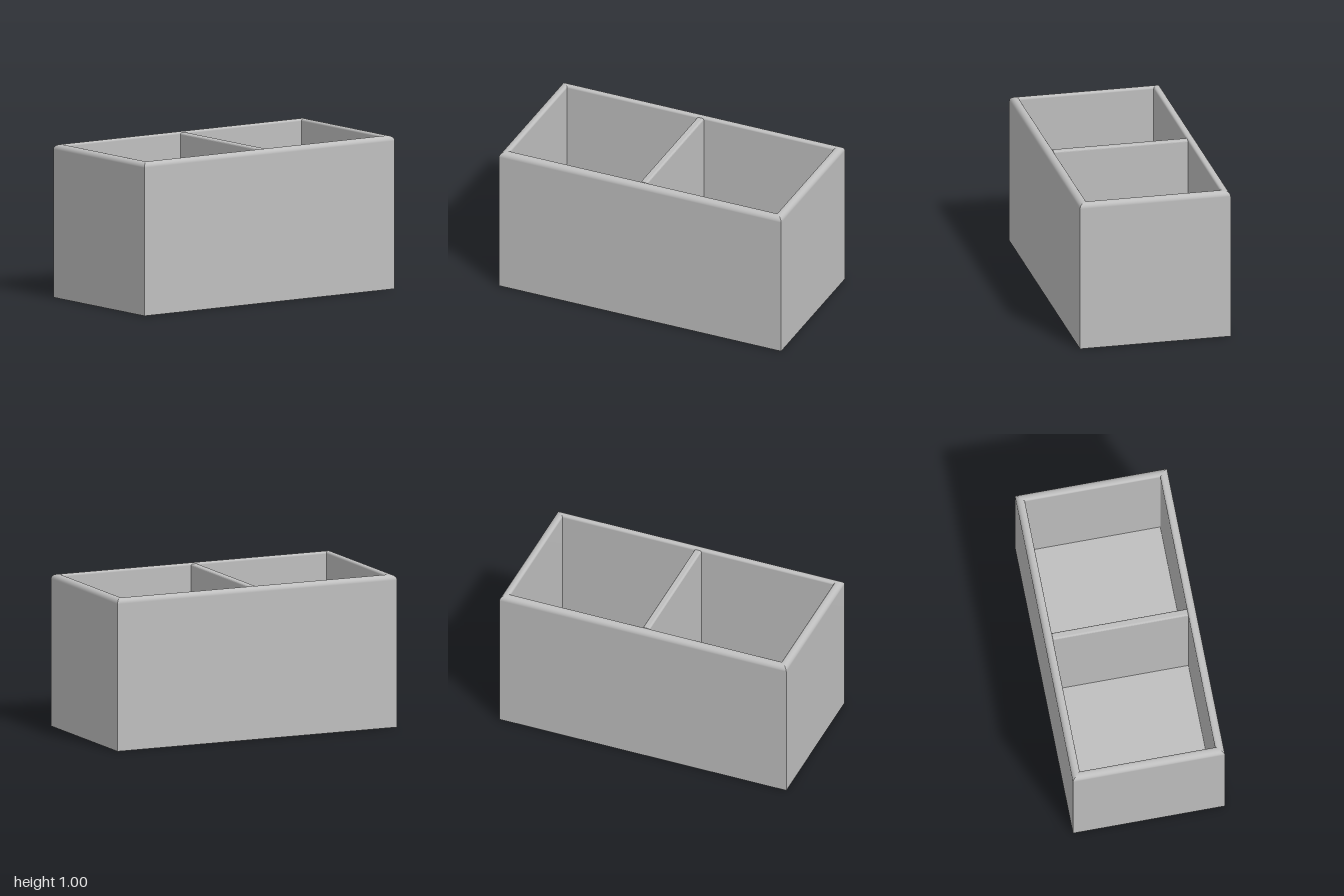
import * as THREE from 'three';

const HX = 0.5, HZ = 1, HEIGHT = 1, WALL = 0.055, FLOOR = 0.05;

// Points of a quarter round, from angle a0 to a1
function arc(cx, cy, r, a0, a1, n = 6) {
  return Array.from({ length: n + 1 }, (_, i) => {
    const a = a0 + ((a1 - a0) * i) / n;
    return [cx + r * Math.cos(a), cy + r * Math.sin(a)];
  });
}

// One mitred wall: the [inset, height] profile swept between two corners
function wallGeometry(profile, [ax, az], [bx, bz]) {
  const pos = [], index = [];
  profile.forEach(([d, y], i) => {
    pos.push(ax * (HX - d), y, az * (HZ - d), bx * (HX - d), y, bz * (HZ - d));
    if (i) {
      const k = 2 * (i - 1);
      index.push(k, k + 1, k + 2, k + 1, k + 3, k + 2);
    }
  });
  const g = new THREE.BufferGeometry();
  g.setAttribute('position', new THREE.Float32BufferAttribute(pos, 3));
  g.setIndex(index);
  g.computeVertexNormals();
  return g;
}

export function createModel() {
  const group = new THREE.Group();
  group.name = 'dividedBox';
  const grey = new THREE.MeshStandardMaterial({ color: 0xbfbfbf });
  grey.name = 'grey';
  const add = (name, geometry) => {
    const mesh = new THREE.Mesh(geometry, grey);
    mesh.name = name;
    group.add(mesh);
    return mesh;
  };

  // Four walls with a rounded rim, larger radius on the outside
  const ro = 0.033, ri = 0.015;
  const profile = [
    [0, 0],
    ...arc(ro, HEIGHT - ro, ro, Math.PI, Math.PI / 2),
    ...arc(WALL - ri, HEIGHT - ri, ri, Math.PI / 2, 0, 4),
    [WALL, FLOOR],
  ];
  const corners = [[-1, 1], [1, 1], [1, -1], [-1, -1]];
  ['frontWall', 'leftWall', 'backWall', 'rightWall'].forEach((name, i) =>
    add(name, wallGeometry(profile, corners[i], corners[(i + 1) % 4])));

  // Inner floor and underside
  const floor = add('floor', new THREE.PlaneGeometry(2 * (HX - WALL), 2 * (HZ - WALL)));
  floor.rotation.x = -Math.PI / 2;
  floor.position.y = FLOOR;
  const underside = add('underside', new THREE.PlaneGeometry(2 * HX, 2 * HZ));
  underside.rotation.x = Math.PI / 2;

  // Cross divider with softly rounded top edges
  const t = 0.024, r = 0.012, top = 0.995, length = 2 * (HX - WALL);
  const outline = [
    [-t, FLOOR], [t, FLOOR],
    ...arc(t - r, top - r, r, 0, Math.PI / 2, 4),
    ...arc(-t + r, top - r, r, Math.PI / 2, Math.PI, 4),
  ];
  const shape = new THREE.Shape(outline.map(([x, y]) => new THREE.Vector2(x, y)));
  const dividerGeometry = new THREE.ExtrudeGeometry(shape, { depth: length, bevelEnabled: false });
  dividerGeometry.translate(0, 0, -length / 2).rotateY(Math.PI / 2);
  add('divider', dividerGeometry);

  return group;
}
